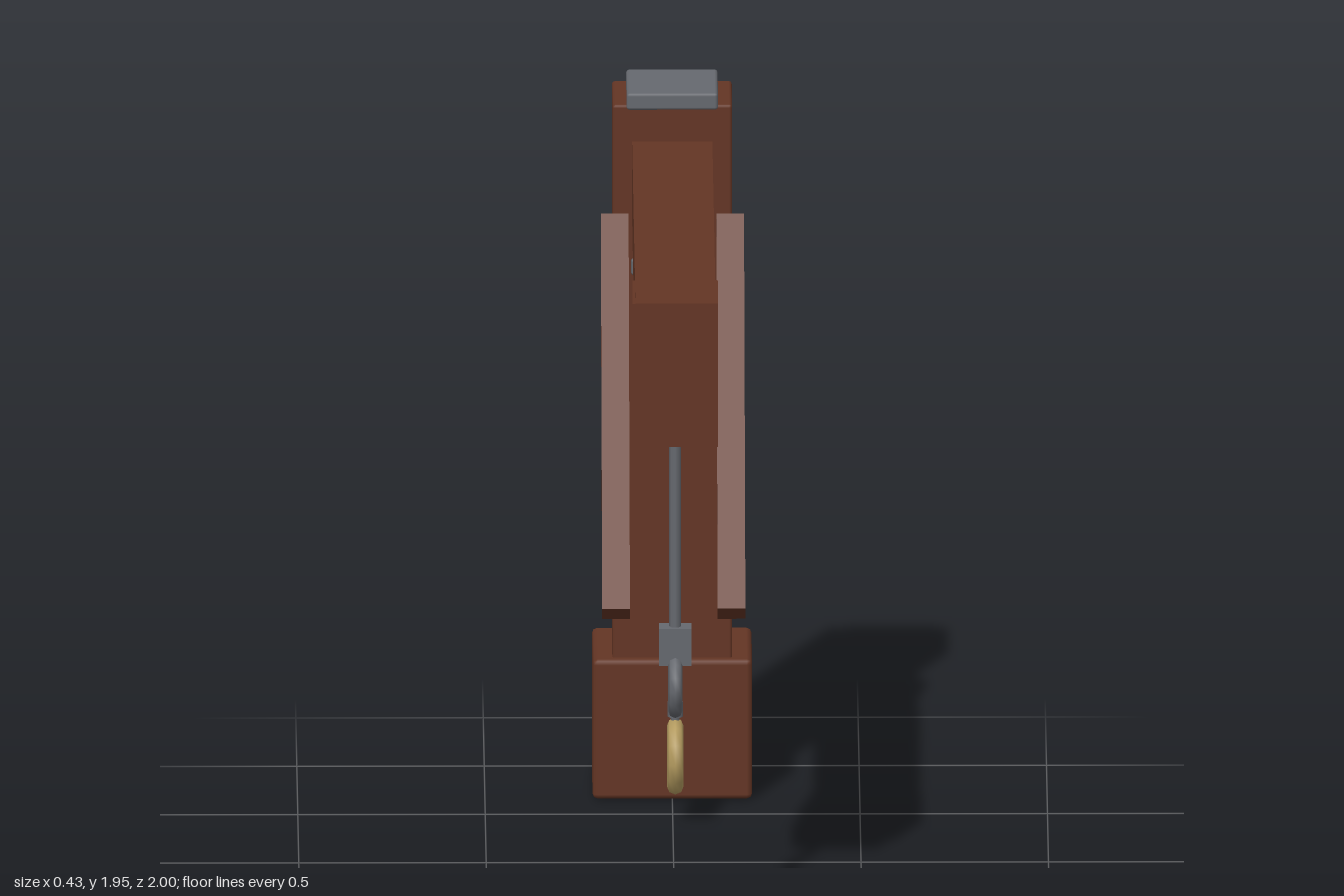
import * as THREE from 'three';
import { RoundedBoxGeometry } from 'three/addons/geometries/RoundedBoxGeometry.js';

const wood = new THREE.MeshStandardMaterial({ color: 0x643524 });
wood.name = 'brown wood';
const iron = new THREE.MeshStandardMaterial({ color: 0x66696f });
iron.name = 'grey iron';
const brass = new THREE.MeshStandardMaterial({ color: 0xb59c60 });
brass.name = 'pale brass';

export function createModel() {
  const model = new THREE.Group();
  model.name = 'hangingPost';

  const add = (name, geometry, material, x, y, z) => {
    const mesh = new THREE.Mesh(geometry, material);
    mesh.name = name;
    mesh.position.set(x, y, z);
    model.add(mesh);
    return mesh;
  };

  // Box given by its y and z ranges, centred on x, with an optional small bevel
  const block = (name, material, width, y0, y1, z0, z1, bevel = 0) => {
    const size = [width, y1 - y0, z1 - z0];
    const geometry = bevel
      ? new RoundedBoxGeometry(...size, 1, bevel)
      : new THREE.BoxGeometry(...size);
    return add(name, geometry, material, 0, (y0 + y1) / 2, (z0 + z1) / 2);
  };

  // Upright
  block('base', wood, 0.426, 0, 0.385, -1, -0.648, 0.014);
  block('post', wood, 0.32, 0.3, 1.91, -0.936, -0.677, 0.008);
  block('topCap', iron, 0.244, 1.9, 1.946, -0.92, -0.66, 0.008);
  block('postBand', iron, 0.22, 1.443, 1.489, -0.92, -0.66, 0.008);

  // Arm and the block at its end
  block('arm', wood, 0.214, 1.585, 1.81, -0.7, 1);
  block('armEndBlock', wood, 0.228, 1.4, 1.795, 0.703, 0.947);

  // Slanted braces on both sides
  for (const side of [-1, 1]) {
    const brace = add(side < 0 ? 'rightBrace' : 'leftBrace',
      new THREE.BoxGeometry(0.074, 1.144, 0.069), wood, side * 0.154, 1.16, -0.27);
    brace.rotation.x = -0.659;
  }

  // Hanging rod and fittings
  const z = 0.823;
  add('rod', new THREE.CylinderGeometry(0.016, 0.016, 0.56, 8), iron, 0, 1.13, z);
  block('rodClamp', iron, 0.086, 0.77, 0.872, z - 0.03, z + 0.03);
  add('upperRing', new THREE.TorusGeometry(0.07, 0.019, 8, 14), iron, 0, 0.71, z)
    .rotation.y = Math.PI / 2;
  add('linkCollar', new THREE.CylinderGeometry(0.021, 0.021, 0.04, 8), iron, 0, 0.643, z);
  add('linkPin', new THREE.CylinderGeometry(0.012, 0.012, 0.07, 8), iron, 0, 0.608, z);
  add('lowerRing', new THREE.TorusGeometry(0.084, 0.022, 8, 12), brass, 0, 0.513, z)
    .rotation.y = Math.PI / 2;

  return model;
}
